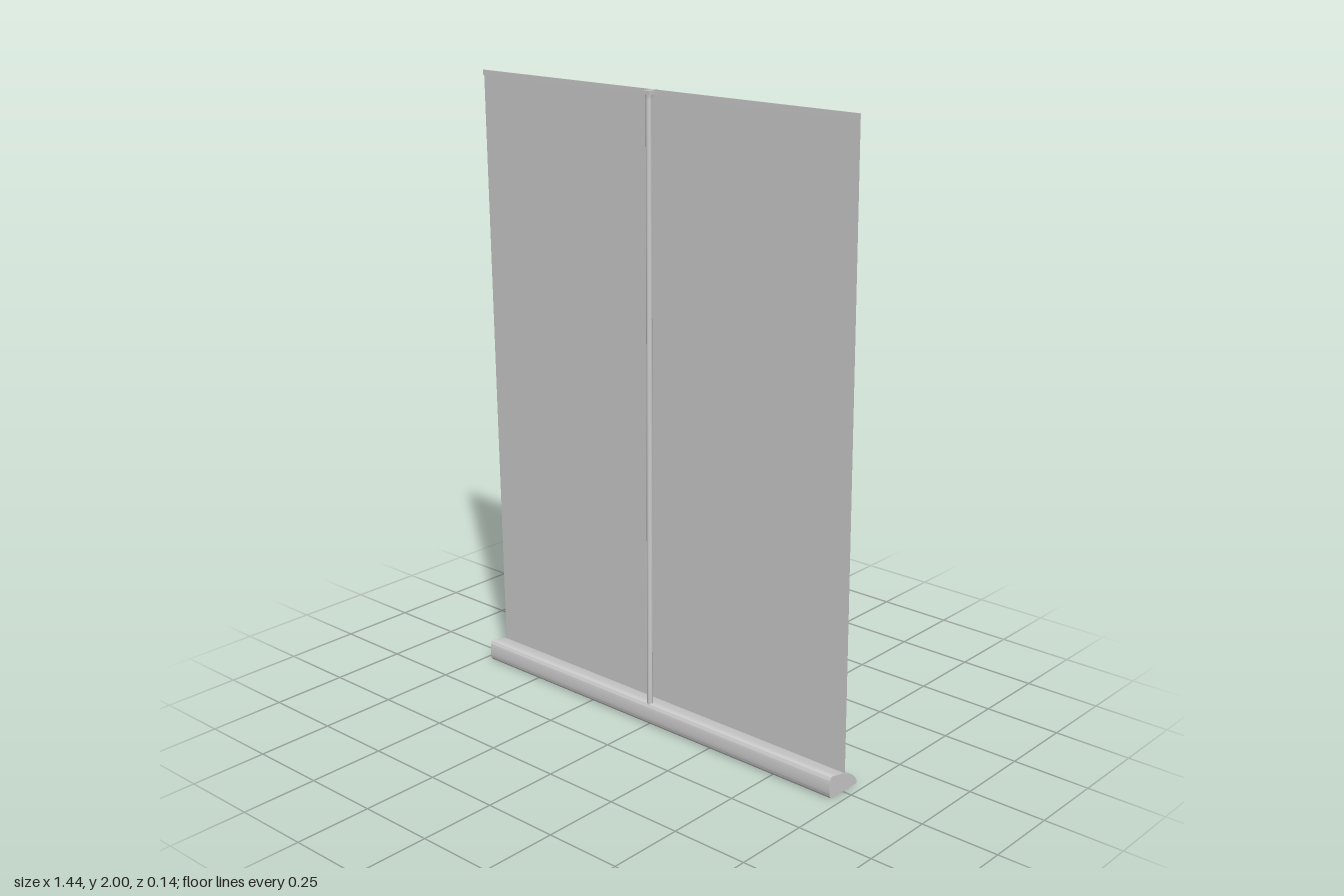
import * as THREE from 'three';
import { toCreasedNormals } from 'three/addons/utils/BufferGeometryUtils.js';

const WIDTH = 1.44;

function add(group, name, geometry, side = THREE.FrontSide) {
  const material = new THREE.MeshStandardMaterial({ color: 0xcccccc, side });
  const mesh = new THREE.Mesh(geometry, material);
  mesh.name = name;
  group.add(mesh);
  return mesh;
}

export function createModel() {
  const group = new THREE.Group();
  group.name = 'rollUpBanner';

  // Base housing: side profile (shape x = -z) extruded along the width
  const profile = new THREE.Shape();
  profile.moveTo(-0.055, 0);
  profile.lineTo(0.066, 0);
  profile.quadraticCurveTo(0.069, 0.004, 0.067, 0.012);
  profile.quadraticCurveTo(0.042, 0.055, -0.03, 0.067);
  profile.lineTo(-0.056, 0.073);
  profile.quadraticCurveTo(-0.065, 0.071, -0.067, 0.055);
  profile.quadraticCurveTo(-0.07, 0.03, -0.067, 0.014);
  profile.quadraticCurveTo(-0.064, 0.003, -0.055, 0);
  const baseGeo = new THREE.ExtrudeGeometry(profile, { depth: WIDTH, bevelEnabled: false, curveSegments: 8 });
  baseGeo.translate(0, 0, -WIDTH / 2).rotateY(Math.PI / 2);
  add(group, 'base', toCreasedNormals(baseGeo, 0.6));

  // Banner sheet leaning slightly forward towards the support pole
  const bottom = new THREE.Vector2(-0.007, 0.055); // (z, y)
  const top = new THREE.Vector2(0.022, 1.988);
  const sheet = add(group, 'bannerSheet',
    new THREE.PlaneGeometry(WIDTH, bottom.distanceTo(top)), THREE.DoubleSide);
  sheet.position.set(0, (bottom.y + top.y) / 2, (bottom.x + top.x) / 2);
  sheet.rotation.x = Math.atan2(top.x - bottom.x, top.y - bottom.y);

  // Thin rail clamping the top edge of the sheet
  const rail = add(group, 'topRail', new THREE.BoxGeometry(WIDTH, 0.016, 0.004));
  rail.position.set(0, 1.991, 0.024);

  // Support pole
  const pole = add(group, 'pole', new THREE.CylinderGeometry(0.009, 0.009, 1.925, 16));
  pole.position.set(0, 1.0275, 0.053);

  // Tapered clip hooking the pole onto the rail
  const clip = new THREE.Shape();
  clip.moveTo(-0.011, -0.064);
  clip.lineTo(0.011, -0.064);
  clip.lineTo(0.009, -0.043);
  clip.lineTo(0.005, -0.022);
  clip.lineTo(-0.005, -0.022);
  clip.lineTo(-0.009, -0.043);
  const clipGeo = new THREE.ExtrudeGeometry(clip, { depth: 0.012, bevelEnabled: false });
  clipGeo.rotateX(-Math.PI / 2).translate(0, 1.988, 0);
  add(group, 'poleClip', clipGeo);

  // Collar where the pole enters the clip
  const collar = add(group, 'poleCollar', new THREE.CylinderGeometry(0.011, 0.0095, 0.012, 16));
  collar.position.set(0, 1.983, 0.053);

  return group;
}
